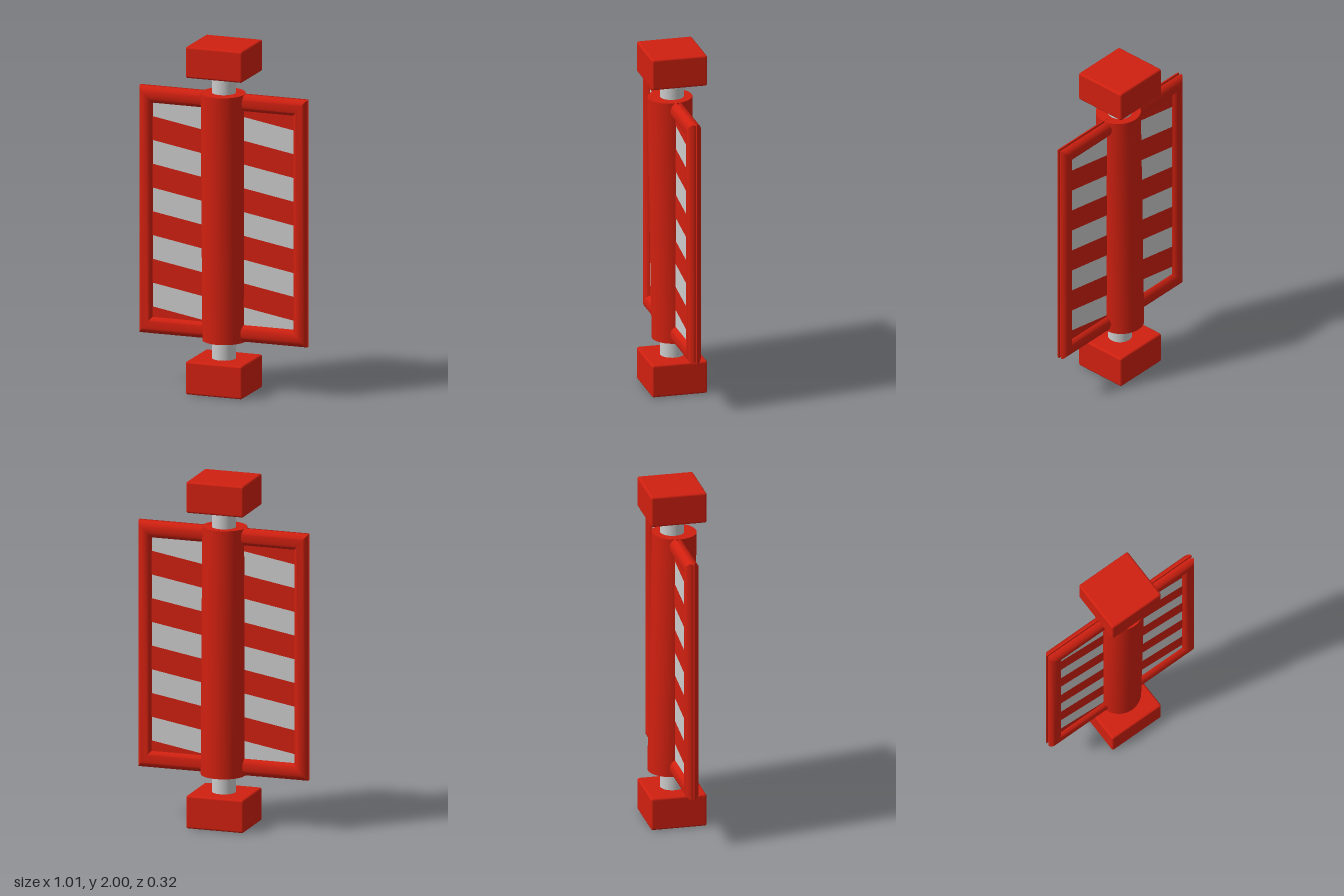
import * as THREE from 'three';
import { toCreasedNormals } from 'three/addons/utils/BufferGeometryUtils.js';
import { RoundedBoxGeometry } from 'three/addons/geometries/RoundedBoxGeometry.js';

const red = new THREE.MeshStandardMaterial({ color: 0xd02010 });
const grey = new THREE.MeshStandardMaterial({ color: 0xcccccc });

function add(parent, name, geometry, material, y = 0) {
  const mesh = new THREE.Mesh(geometry, material);
  mesh.name = name;
  mesh.position.y = y;
  parent.add(mesh);
  return mesh;
}

// Rounded rail with a groove along its outer edge, swept round a mitred rectangle
function frameGeometry() {
  const half = [];
  const steps = 12, start = 0.2;
  for (let i = 0; i <= steps; i++) {
    const a = start + (Math.PI - start) * i / steps;
    half.push([0.5 - 0.5 * Math.cos(a), 0.041 * Math.sin(a)]);
  }
  const back = half.slice(0, -1).reverse().map(([t, z]) => [t, -z]);
  const profile = [[0.12, 0.006], ...half, ...back, [0.12, -0.006]];

  // t runs from the outer edge (0) to the inner edge (1)
  const corner = (i, [t, z]) => {
    const x = 0.505 - 0.085 * t, low = 0.295 + 0.1 * t, high = 1.72 - 0.1 * t;
    return [[-x, low, z], [x, low, z], [x, high, z], [-x, high, z]][i % 4];
  };
  const positions = [];
  for (let i = 0; i < 4; i++) {
    profile.forEach((p, j) => {
      const q = profile[(j + 1) % profile.length];
      const a = corner(i, p), b = corner(i + 1, p), c = corner(i + 1, q), d = corner(i, q);
      positions.push(...a, ...b, ...c, ...a, ...c, ...d);
    });
  }
  const geometry = new THREE.BufferGeometry();
  geometry.setAttribute('position', new THREE.Float32BufferAttribute(positions, 3));
  return toCreasedNormals(geometry, 0.6);
}

// Slanted band, cut off where it runs under the top and bottom rails
function stripeGeometry(centreY) {
  const geometry = new THREE.PlaneGeometry(0.9, 0.137, 30, 1);
  const p = geometry.attributes.position;
  for (let i = 0; i < p.count; i++) {
    const y = centreY + p.getY(i) - 0.17 * p.getX(i);
    p.setXYZ(i, p.getX(i), THREE.MathUtils.clamp(y, 0.35, 1.67), 0.014);
  }
  return geometry;
}

export function createModel() {
  const model = new THREE.Group();
  model.name = 'stripedTurnPanel';

  // End blocks and the rod between them
  add(model, 'bottomBlock', new RoundedBoxGeometry(0.34, 0.19, 0.32, 3, 0.012), red, 0.095);
  add(model, 'topBlock', new RoundedBoxGeometry(0.34, 0.18, 0.32, 3, 0.012), red, 1.91);
  add(model, 'rod', new THREE.CylinderGeometry(0.068, 0.068, 1.7, 32), grey, 1);

  // Sleeve leans slightly forward on the rod
  const sleeve = add(model, 'sleeve', new THREE.CylinderGeometry(0.126, 0.126, 1.425, 40), red, 1.005);
  sleeve.rotation.x = 0.0175;

  // Framed panel
  add(model, 'frame', frameGeometry(), red);
  add(model, 'panel', new THREE.BoxGeometry(0.92, 1.33, 0.024), grey, 1.0075);

  // Stripes on both faces, each falling to the viewer's right
  for (const side of ['front', 'back']) {
    const stripes = new THREE.Group();
    stripes.name = side + 'Stripes';
    stripes.rotation.y = side === 'back' ? Math.PI : 0;
    for (let k = -1; k <= 4; k++) {
      add(stripes, 'stripe', stripeGeometry(1.4055 - 0.2735 * k), red);
    }
    model.add(stripes);
  }
  return model;
}
